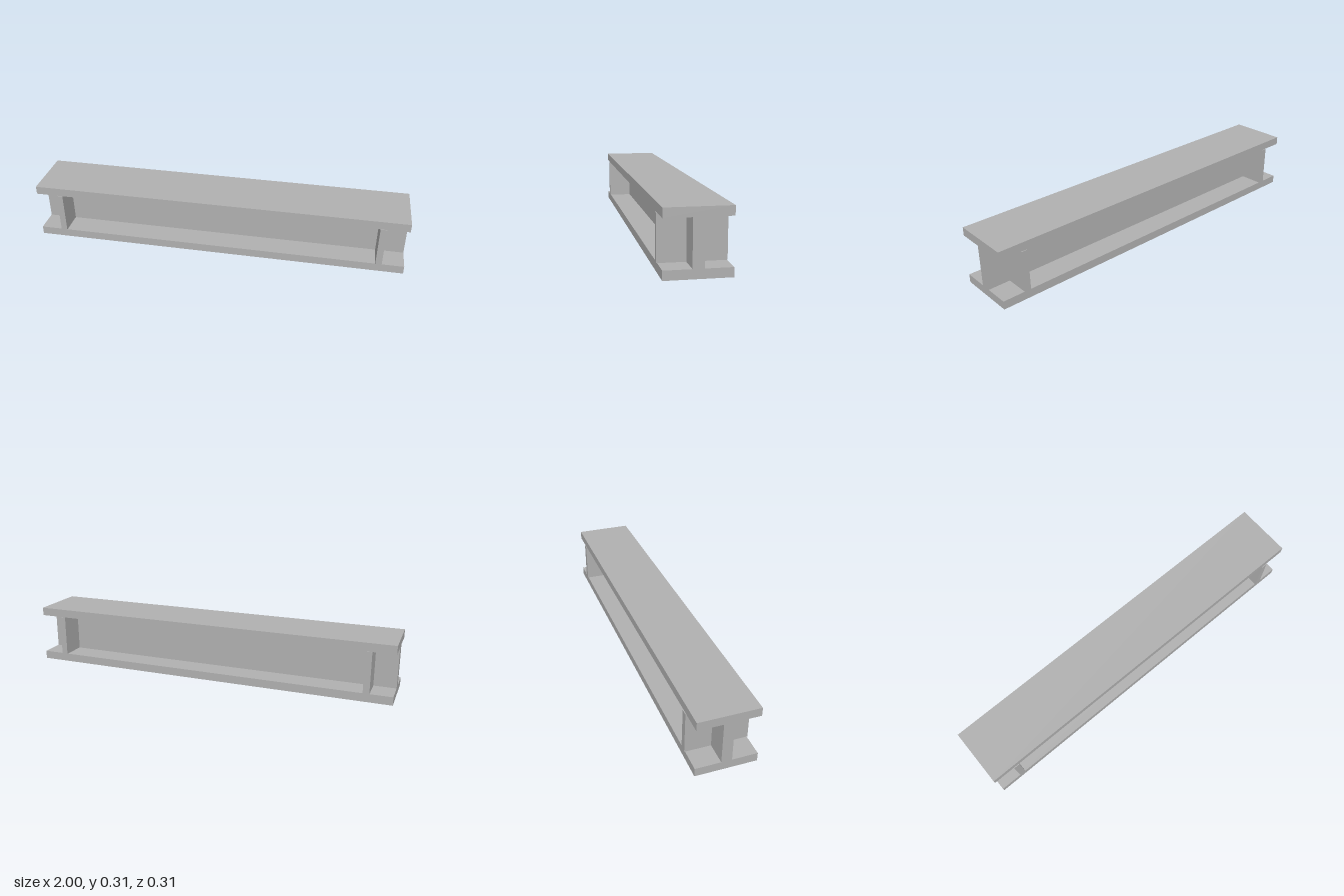
import * as THREE from 'three';

export function createModel() {
  const group = new THREE.Group();
  group.name = 'steelBeam';
  const steel = new THREE.MeshStandardMaterial({ color: 0xb0b0b0 });
  steel.name = 'steel grey';

  const H = 0.306, halfWidth = 0.153, flange = 0.044, halfWeb = 0.026;

  // I-shaped cross-section: right half, then mirrored for the left
  const half = [
    [halfWidth, 0], [halfWidth, flange], [halfWeb, flange],
    [halfWeb, H - flange], [halfWidth, H - flange], [halfWidth, H],
  ];
  const outline = [...half, ...half.map(([x, y]) => [-x, y]).reverse()];
  const profile = new THREE.Shape(outline.map(([x, y]) => new THREE.Vector2(x, y)));

  // Beam runs the full length along x
  const beamGeometry = new THREE.ExtrudeGeometry(profile, { depth: 2, bevelEnabled: false });
  beamGeometry.translate(0, 0, -1);
  beamGeometry.rotateY(Math.PI / 2);
  const beam = new THREE.Mesh(beamGeometry, steel);
  beam.name = 'beam';
  group.add(beam);

  // Stiffener plates near both ends, on both sides of the web, slightly proud of the flanges
  const outer = 0.157, depth = outer - halfWeb;
  const plate = new THREE.BoxGeometry(0.033, H - 2 * flange, depth);
  for (const sx of [-1, 1]) {
    for (const sz of [-1, 1]) {
      const stiffener = new THREE.Mesh(plate, steel);
      stiffener.name = `${sz > 0 ? 'front' : 'back'}${sx > 0 ? 'Left' : 'Right'}Stiffener`;
      stiffener.position.set(sx * 0.868, H / 2, sz * (halfWeb + depth / 2));
      group.add(stiffener);
    }
  }
  return group;
}
